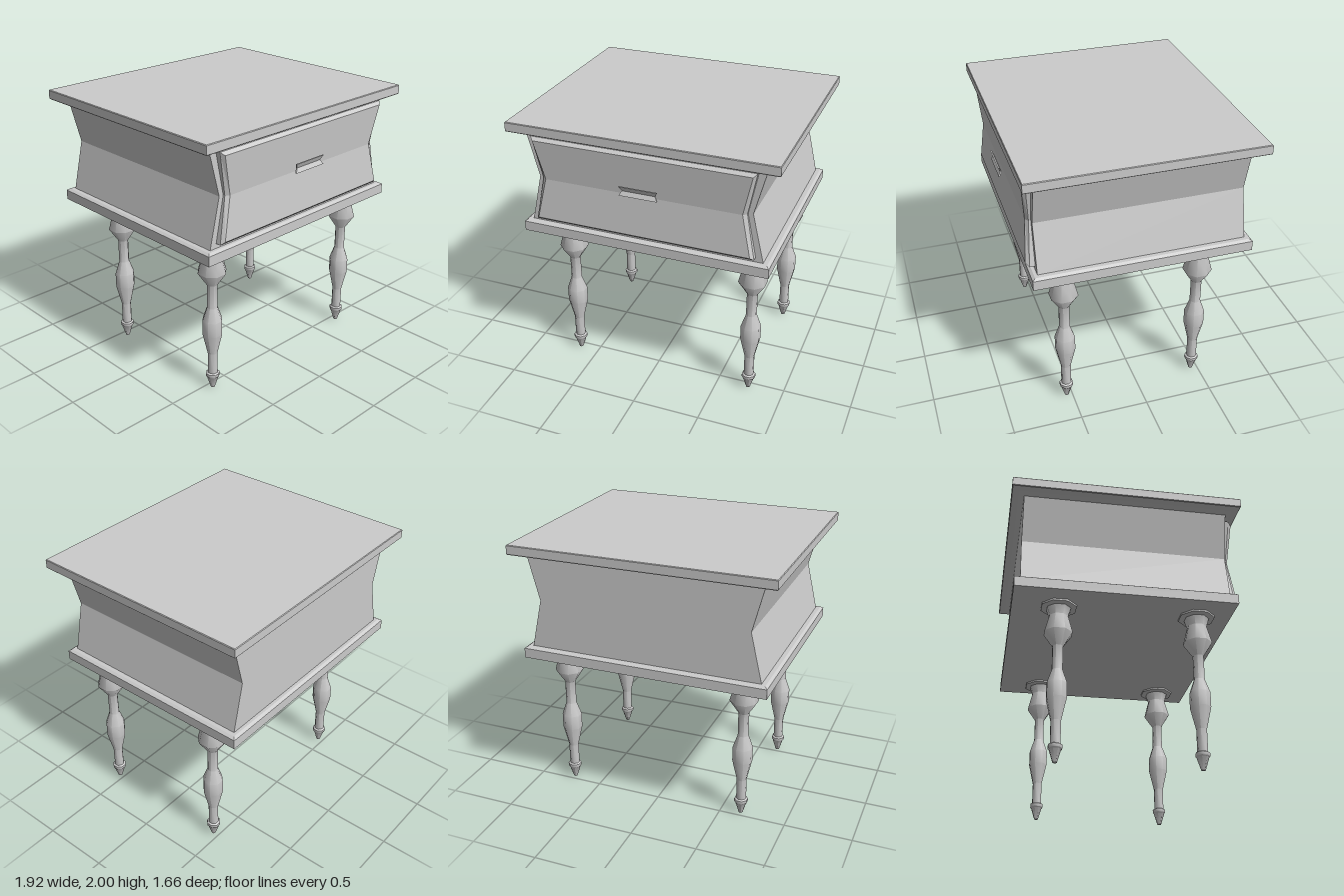
import * as THREE from 'three';
import { toCreasedNormals } from 'three/addons/utils/BufferGeometryUtils.js';

const material = new THREE.MeshStandardMaterial({ color: 0xcccccc });

// Flat-faced solid through rings of points, counter-clockwise seen from the last ring's end
function loft(rings) {
  const positions = [];
  const quad = (a, b, c, d) => [a, b, c, a, c, d].forEach((p) => positions.push(...p));
  const n = rings[0].length;
  for (let r = 0; r < rings.length - 1; r++) {
    for (let i = 0; i < n; i++) {
      const j = (i + 1) % n;
      quad(rings[r][i], rings[r][j], rings[r + 1][j], rings[r + 1][i]);
    }
  }
  const first = rings[0], last = rings[rings.length - 1];
  for (let i = 0; i < n / 2 - 1; i++) {
    const [a, b, c, d] = [i, i + 1, n - 2 - i, n - 1 - i];
    quad(last[a], last[b], last[c], last[d]);
    quad(first[d], first[c], first[b], first[a]);
  }
  const geometry = new THREE.BufferGeometry();
  geometry.setAttribute('position', new THREE.Float32BufferAttribute(positions, 3));
  geometry.computeVertexNormals();
  return geometry;
}

// Rectangle at height y
const rect = (y, hx, hz) => [[hx, y, hz], [hx, y, -hz], [-hx, y, -hz], [-hx, y, hz]];

// Upright panel outline, pinched at mid height in width and depth
const pinched = (hx, waist, bottom, middle, top, z, zWaist) => [
  [-hx, top, z], [-waist, middle, zWaist], [-hx, bottom, z],
  [hx, bottom, z], [waist, middle, zWaist], [hx, top, z],
];

function addMesh(parent, name, geometry) {
  const mesh = new THREE.Mesh(geometry, material);
  mesh.name = name;
  parent.add(mesh);
  return mesh;
}

// Turned eight-sided leg; radii are measured to the flats
function legGeometry() {
  const profile = [
    [0, 0], [0.014, 0], [0.04, 0.09], [0.047, 0.097], [0.047, 0.12], [0.034, 0.128],
    [0.034, 0.29], [0.068, 0.45], [0.068, 0.56], [0.036, 0.66], [0.036, 0.84],
    [0.097, 0.94], [0.065, 1.07], [0.083, 1.132], [0.122, 1.137], [0.122, 1.15], [0, 1.15],
  ];
  const toCorner = 1 / Math.cos(Math.PI / 8);
  const points = profile.map(([r, y]) => new THREE.Vector2(r * toCorner, y));
  const geometry = new THREE.LatheGeometry(points, 8);
  geometry.rotateY(Math.PI / 8);
  return toCreasedNormals(geometry, 0.8);
}

export function createModel() {
  const table = new THREE.Group();
  table.name = 'nightstand';

  // Table top with a shallow sloped underside
  addMesh(table, 'tableTop', loft([
    rect(1.918, 0.86, 0.75), rect(1.93, 0.9, 0.78), rect(1.93, 0.955, 0.828),
    rect(1.935, 0.96, 0.832), rect(1.995, 0.96, 0.832), rect(2, 0.956, 0.828),
  ]));

  // Cabinet with sides pinched inwards
  addMesh(table, 'cabinet', loft([
    rect(1.23, 0.855, 0.742), rect(1.59, 0.772, 0.742), rect(1.92, 0.858, 0.742),
  ]));

  // Base slab with a bevelled upper edge
  addMesh(table, 'base', loft([
    rect(1.15, 0.905, 0.785), rect(1.222, 0.905, 0.785), rect(1.235, 0.885, 0.765),
  ]));

  // Drawer front with a bevelled rim
  addMesh(table, 'drawerFront', loft([
    pinched(0.8, 0.737, 1.268, 1.59, 1.902, 0.735, 0.735),
    pinched(0.8, 0.737, 1.268, 1.59, 1.902, 0.78, 0.757),
    pinched(0.777, 0.71, 1.29, 1.59, 1.88, 0.803, 0.777),
  ]));

  // Folded drawer handle
  addMesh(table, 'handle', loft([
    pinched(0.138, 0.118, 1.596, 1.628, 1.662, 0.818, 0.803),
    pinched(0.138, 0.118, 1.596, 1.628, 1.662, 0.828, 0.813),
  ]));

  // Four legs
  const leg = legGeometry();
  for (const [side, x] of [['Right', -0.651], ['Left', 0.735]]) {
    for (const [end, z] of [['front', 0.541], ['back', -0.453]]) {
      addMesh(table, `${end}${side}Leg`, leg).position.set(x, 0, z);
    }
  }
  return table;
}
